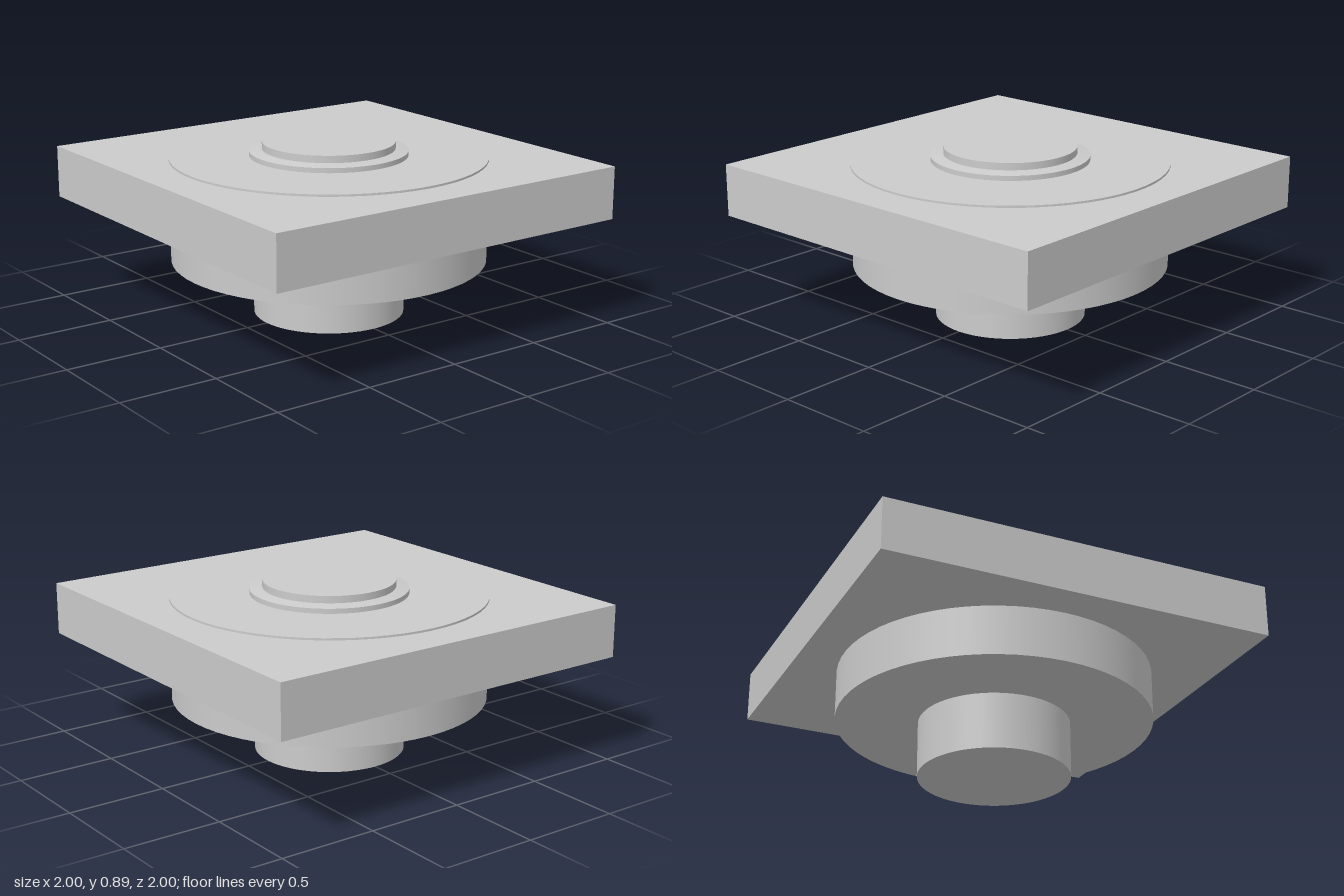
import * as THREE from 'three';

const material = new THREE.MeshStandardMaterial({ color: 0xcccccc });

function add(group, name, geometry, y) {
  const mesh = new THREE.Mesh(geometry, material);
  mesh.name = name;
  mesh.position.y = y;
  group.add(mesh);
}

// Upright disc between two heights, with an optional narrower top
function disc(group, name, bottom, top, radius, topRadius = radius) {
  const geometry = new THREE.CylinderGeometry(topRadius, radius, top - bottom, 64);
  add(group, name, geometry, (bottom + top) / 2);
}

export function createModel() {
  const group = new THREE.Group();
  group.name = 'flangedMount';

  // Square plate
  add(group, 'plate', new THREE.BoxGeometry(2, 0.267, 2), 0.673);

  // Stepped body below, passing through the plate
  disc(group, 'shaft', 0, 0.3, 0.383);
  disc(group, 'body', 0.287, 0.817, 0.8);

  // Collar with a gently sloped shoulder, and the cap on top
  disc(group, 'collar', 0.81, 0.842, 0.4);
  disc(group, 'collarShoulder', 0.842, 0.851, 0.4, 0.345);
  disc(group, 'cap', 0.845, 0.887, 0.335);

  return group;
}
